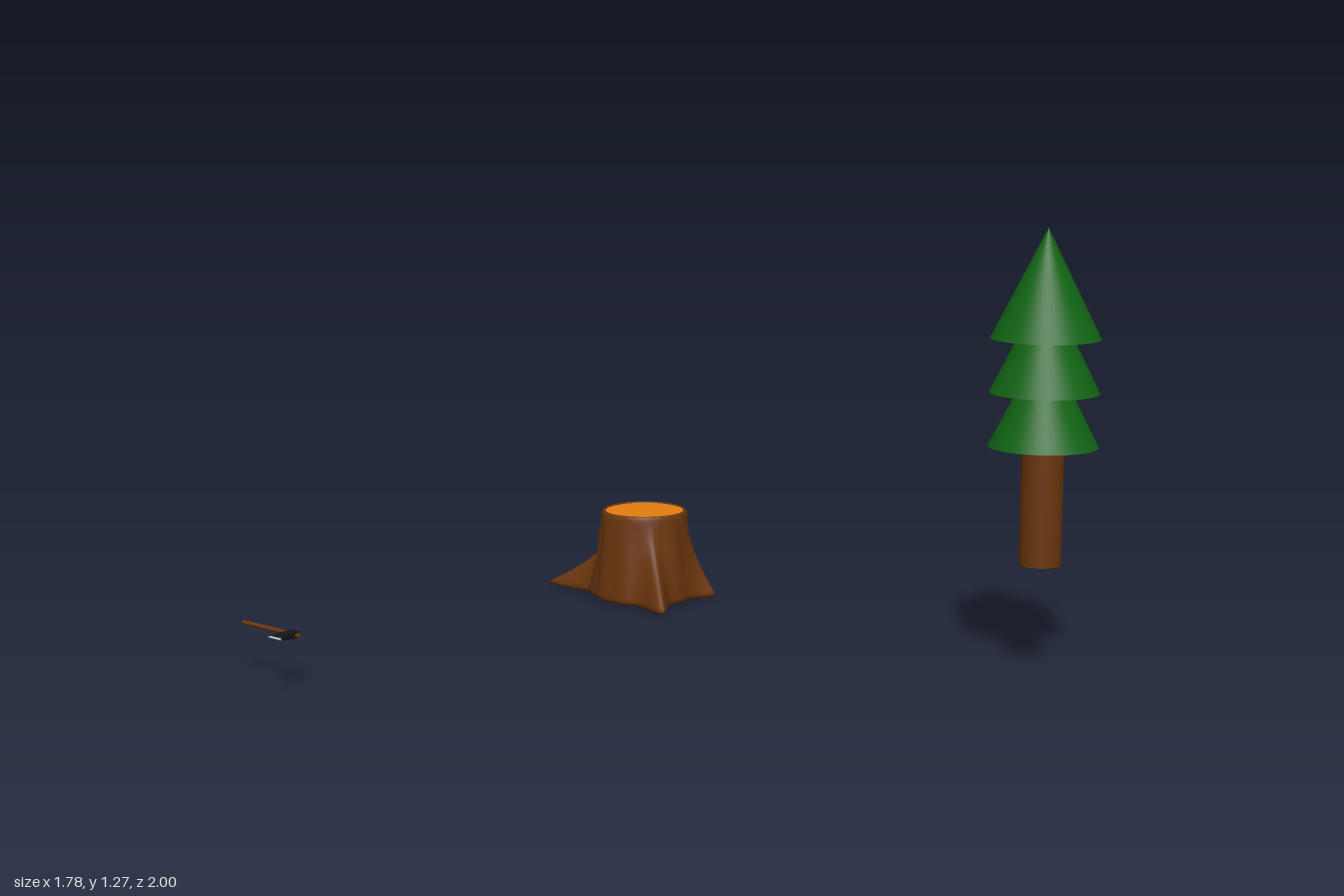
import * as THREE from 'three';

const mat = (color, extra = {}) => new THREE.MeshStandardMaterial({ color, ...extra });
const BARK = mat(0x6b360e), LEAF = mat(0x116414), WOOD = mat(0xe67e0f);
const IRON = mat(0x141414, { flatShading: true }), STEEL = mat(0xb0b0b0, { flatShading: true });

function add(parent, name, geometry, material, x = 0, y = 0, z = 0) {
  const mesh = new THREE.Mesh(geometry, material);
  mesh.name = name;
  mesh.position.set(x, y, z);
  parent.add(mesh);
  return mesh;
}

// Pine: a trunk with three equal overlapping cones
function createTree() {
  const tree = new THREE.Group();
  tree.name = 'tree';
  add(tree, 'trunk', new THREE.CylinderGeometry(0.06, 0.06, 0.4, 32), BARK, 0, 0.525, 0);
  for (let i = 0; i < 3; i++) {
    add(tree, 'foliage' + (i + 1), new THREE.ConeGeometry(0.155, 0.31, 48), LEAF, 0, 0.82 + i * 0.153, 0);
  }
  return tree;
}

// Root tips in plan (x, z), angular width, height reached and fall-off
const ROOTS = [
  { x: -0.087, z: -0.341, w: 0.12, h: 0.14, p: 1.4 },
  { x: 0.23, z: -0.055, w: 0.17, h: 0.24, p: 1.5 },
  { x: 0.124, z: 0.193, w: 0.12, h: 0.2, p: 1.5 },
  { x: -0.18, z: 0.235, w: 0.14, h: 0.22, p: 1.5 },
];

// Extra radius that the roots give the stump at an angle and height
function rootReach(angle, y) {
  let reach = 0;
  for (const r of ROOTS) {
    const a = angle - Math.atan2(r.z, r.x);
    const d = Math.atan2(Math.sin(a), Math.cos(a)) / r.w;
    const lift = Math.max(0, 1 - Math.max(0, y - 0.018) / r.h);
    reach += (Math.hypot(r.x, r.z) - 0.162) * lift ** r.p / (1 + d * d);
  }
  return reach;
}

// Stump: rings of a round profile pushed out along the roots
function createStump() {
  const stump = new THREE.Group();
  stump.name = 'stump';
  const N = 192;
  const profile = [
    [0.006, 0.152], [0.01, 0.159], [0.018, 0.162], [0.027, 0.162], [0.037, 0.161], [0.05, 0.16],
    [0.065, 0.159], [0.08, 0.158], [0.1, 0.156], [0.125, 0.154], [0.15, 0.152], [0.18, 0.149],
    [0.22, 0.145], [0.26, 0.141], [0.278, 0.139], [0.287, 0.136], [0.291, 0.131], [0.289, 0.126], [0.28, 0.125],
  ];
  const pos = [], index = [], base = [0, 0.006, 0], baseIndex = [];
  profile.forEach(([y, r], j) => {
    for (let i = 0; i < N; i++) {
      const a = (i / N) * Math.PI * 2;
      const ripple = y < 0.26 ? 0.002 * Math.cos(11 * a) : 0;
      const tuck = j === 0 ? 0.93 : j === 1 ? 0.98 : 1;
      const R = r + ripple + rootReach(a, y) * tuck;
      pos.push(R * Math.cos(a), y, R * Math.sin(a));
      const k = (i + 1) % N;
      if (j === 0) {
        base.push(R * Math.cos(a), y, R * Math.sin(a));
        baseIndex.push(0, i + 1, k + 1);
      } else {
        const lo = (j - 1) * N, hi = j * N;
        index.push(lo + i, hi + i, hi + k, lo + i, hi + k, lo + k);
      }
    }
  });
  const build = (p, idx) => {
    const g = new THREE.BufferGeometry();
    g.setAttribute('position', new THREE.Float32BufferAttribute(p, 3));
    g.setIndex(idx);
    g.computeVertexNormals();
    return g;
  };
  add(stump, 'stumpBark', build(pos, index), BARK);
  add(stump, 'stumpUnderside', build(base, baseIndex), BARK);
  add(stump, 'cutFace', new THREE.CircleGeometry(0.127, 64).rotateX(-Math.PI / 2), WOOD, 0, 0.287, 0);
  return stump;
}

// Slab along x whose left end has its own thickness and width
function wedge(x0, x1, left, right) {
  const g = new THREE.BoxGeometry(1, 1, 1);
  const p = g.attributes.position;
  for (let i = 0; i < p.count; i++) {
    const isLeft = p.getX(i) < 0;
    const [h, d] = isLeft ? left : right;
    p.setXYZ(i, isLeft ? x0 : x1, p.getY(i) * h, p.getZ(i) * d);
  }
  g.computeVertexNormals();
  return g;
}

// Axe: lying flat, handle along z and blade towards -x
function createAxe() {
  const axe = new THREE.Group();
  axe.name = 'axe';
  const handle = new THREE.CylinderGeometry(0.0065, 0.0065, 0.243, 16).rotateX(Math.PI / 2);
  add(axe, 'axeHandle', handle, BARK, 0, 0, -0.0925);
  add(axe, 'axeEye', wedge(-0.03, 0.01, [0.016, 0.036], [0.018, 0.038]), IRON);
  add(axe, 'axeBlade', wedge(-0.06, -0.03, [0.006, 0.047], [0.016, 0.036]), IRON);
  add(axe, 'axeEdge', wedge(-0.068, -0.06, [0.001, 0.049], [0.006, 0.047]), STEEL);
  return axe;
}

export function createModel() {
  const model = new THREE.Group();
  model.name = 'woodcutterScene';
  const tree = createTree(), stump = createStump(), axe = createAxe();
  tree.position.set(0.657, 0, 0.845);
  stump.position.set(0.657, 0, -0.659);
  axe.position.set(-0.827, 0.152, -0.659);
  model.add(tree, stump, axe);
  return model;
}
